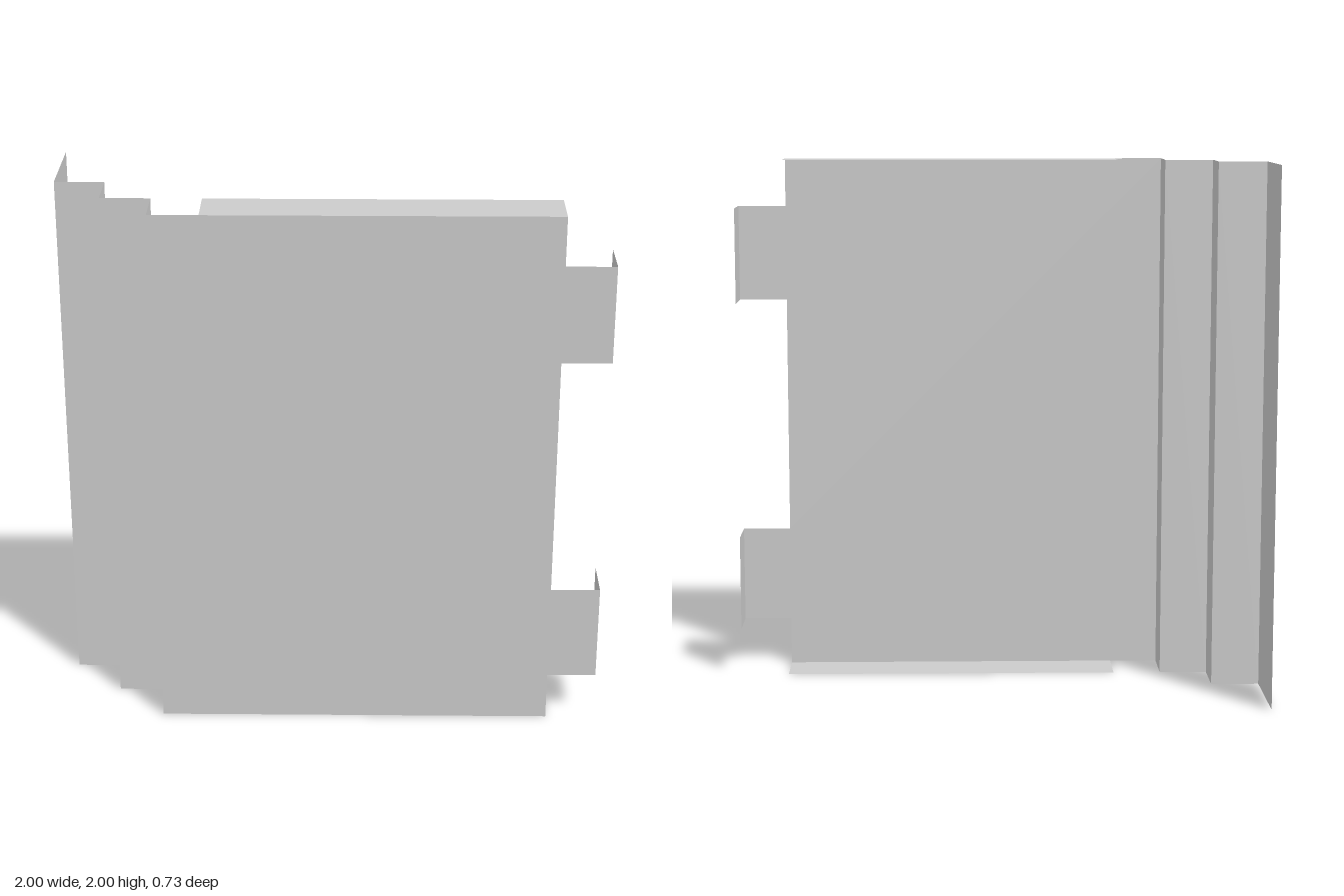
import * as THREE from 'three';

const U = 2 / 11; // sheet module: every fold is a multiple of this
const H = 2;
const FRONT = 2 * U;

const sheet = new THREE.MeshStandardMaterial({ color: 0xcccccc, side: THREE.DoubleSide });

function addMesh(group, name, geometry) {
  const mesh = new THREE.Mesh(geometry, sheet);
  mesh.name = name;
  group.add(mesh);
  return mesh;
}

export function createModel() {
  const model = new THREE.Group();
  model.name = 'foldedSheetPanel';

  // Front panel with two tabs along its left edge
  const left = 4.5 * U, right = -3.5 * U, tabEnd = 5.5 * U;
  const tabs = [[U, 3 * U], [H - 3 * U, H - U]];
  const outline = new THREE.Shape();
  outline.moveTo(right, 0).lineTo(left, 0);
  for (const [low, high] of tabs) {
    outline.lineTo(left, low).lineTo(tabEnd, low).lineTo(tabEnd, high).lineTo(left, high);
  }
  outline.lineTo(left, H).lineTo(right, H).closePath();
  addMesh(model, 'frontPanel', new THREE.ShapeGeometry(outline)).position.z = FRONT;

  // Tab ends folded backwards
  for (const [low, high] of tabs) {
    const lip = addMesh(model, 'tabLip', new THREE.PlaneGeometry(U, high - low));
    lip.rotation.y = Math.PI / 2;
    lip.position.set(tabEnd, (low + high) / 2, FRONT - U / 2);
  }

  // Top and bottom flanges, stopping short of the stepped side
  for (const [name, y] of [['topFlange', H], ['bottomFlange', 0]]) {
    const flange = addMesh(model, name, new THREE.PlaneGeometry(7 * U, U));
    flange.rotation.x = -Math.PI / 2;
    flange.position.set(U, y, FRONT - U / 2);
  }

  // Stepped side: corners (x, z) of the fold line, one upright strip per segment
  const folds = [[-3.5, 2], [-3.5, 1], [-4.5, 1], [-4.5, 0], [-5.5, 0], [-5.5, -2]];
  for (let i = 1; i < folds.length; i++) {
    const [x0, z0] = folds[i - 1], [x1, z1] = folds[i];
    const width = Math.hypot(x1 - x0, z1 - z0) * U;
    const name = i === folds.length - 1 ? 'sideFlange' : 'sideStep';
    const strip = addMesh(model, name, new THREE.PlaneGeometry(width, H));
    strip.rotation.y = Math.atan2(x1 - x0, z1 - z0) + Math.PI / 2;
    strip.position.set((x0 + x1) / 2 * U, H / 2, (z0 + z1) / 2 * U);
    // Outer face looks towards the front or the right
  }
  return model;
}
